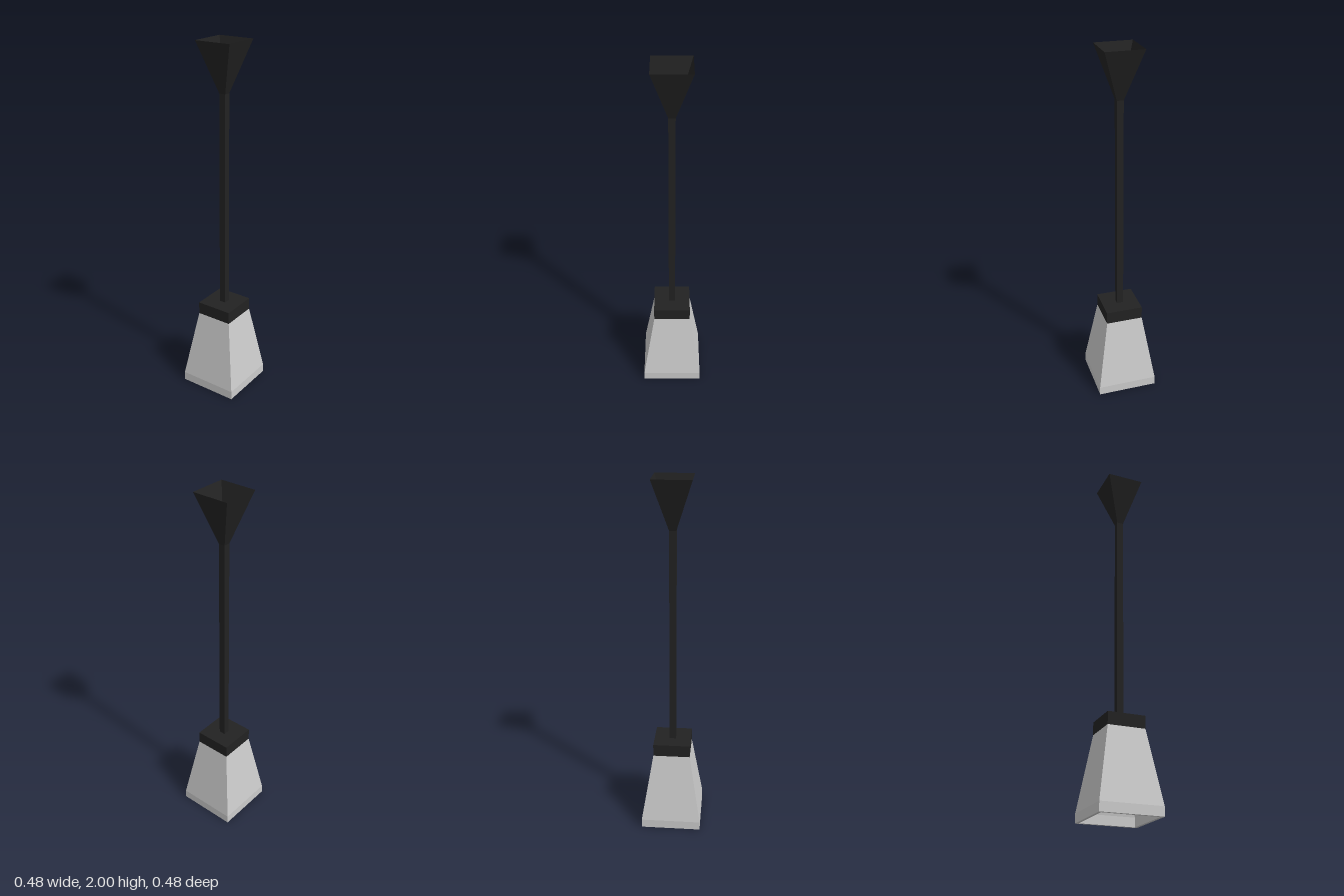
import * as THREE from 'three';

const grey = new THREE.MeshStandardMaterial({ color: 0xcccccc, flatShading: true, side: THREE.DoubleSide });
const dark = new THREE.MeshStandardMaterial({ color: 0x222222, flatShading: true, side: THREE.DoubleSide });

// Four-sided turned part with its corners on the x and z axes; profile is [radius, height]
function squareLathe(name, profile, material) {
  const points = profile.map(([r, y]) => new THREE.Vector2(r, y));
  const mesh = new THREE.Mesh(new THREE.LatheGeometry(points, 4), material);
  mesh.name = name;
  return mesh;
}

export function createModel() {
  const group = new THREE.Group();
  group.name = 'pendantLamp';

  // Hollow shade: ceiling, inner wall, bottom rim, short upright band, sloping outer wall
  group.add(squareLathe('shade', [
    [0, 0.43], [0.125, 0.43], [0.217, 0.05], [0.217, 0],
    [0.24, 0], [0.24, 0.05], [0.147, 0.45], [0, 0.45],
  ], grey));

  // Collar on top of the shade, open where the stem enters
  group.add(squareLathe('collar', [[0.147, 0.45], [0.147, 0.52], [0.026, 0.52]], dark));

  // Hollow stem
  group.add(squareLathe('stem', [[0.026, 0.45], [0.026, 1.73]], dark));

  // Open funnel at the ceiling end
  group.add(squareLathe('ceilingFunnel', [[0.026, 1.73], [0.147, 2]], dark));

  return group;
}
